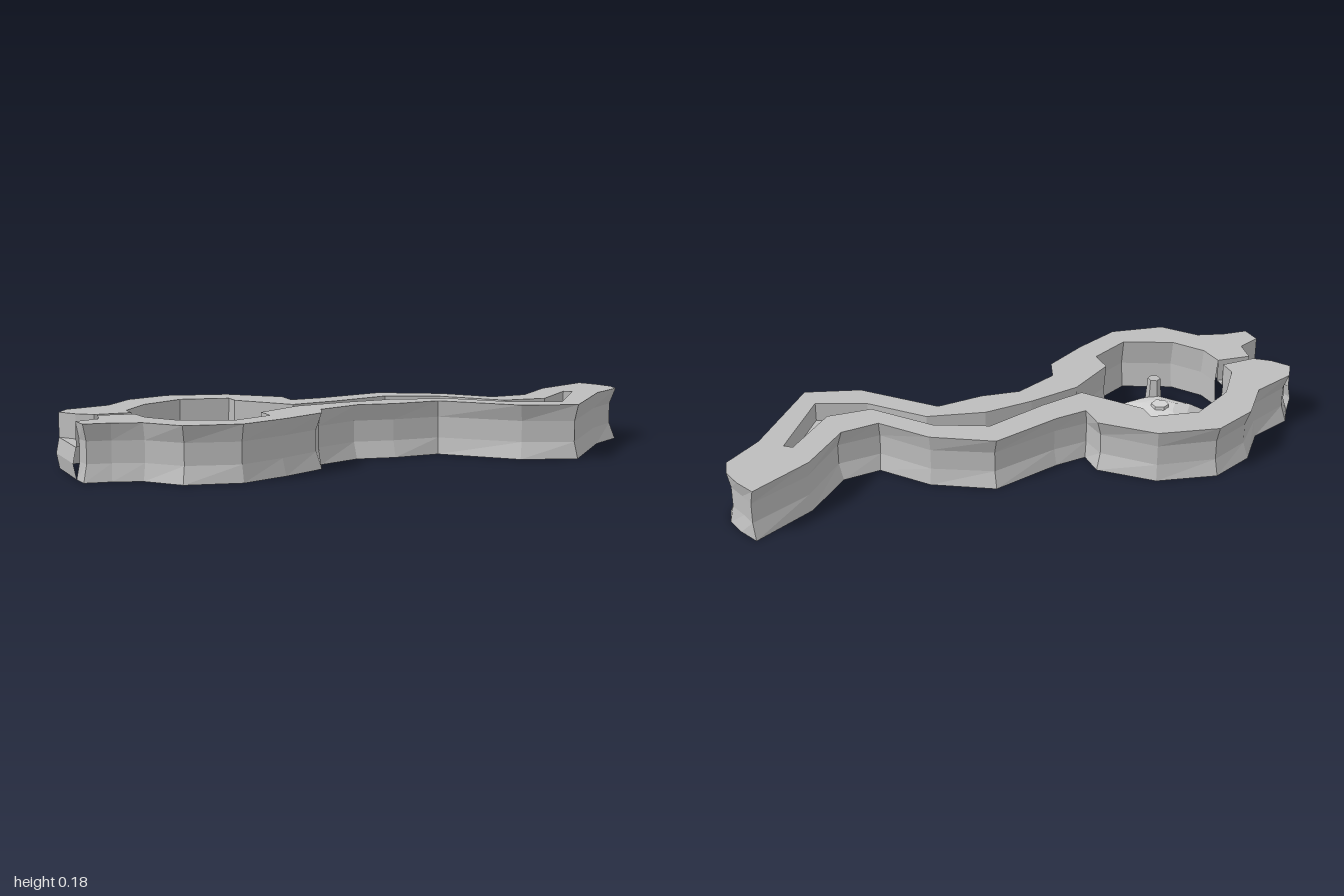
import * as THREE from 'three';

const TOP = 0.18, FLOOR = 0.115;

// Plan outlines as [x, z]
const backEdge = [[-0.99, -0.1], [-0.95, -0.16], [-0.8, -0.21], [-0.7, -0.33], [-0.55, -0.39], [-0.35, -0.34],
  [-0.2, -0.2], [-0.2, -0.11], [-0.09, -0.12], [0.15, -0.18], [0.34, -0.07], [0.46, 0.08], [0.59, 0.07],
  [0.74, -0.07], [0.95, -0.17]];
const frontEdge = [[0.98, -0.1], [0.995, -0.03], [0.98, 0.03], [0.85, 0.12], [0.62, 0.38], [0.44, 0.32], [0.24, 0.11],
  [0.08, 0.12], [-0.05, 0.1], [-0.2, 0.16], [-0.23, 0.24], [-0.38, 0.32], [-0.54, 0.385], [-0.72, 0.35],
  [-0.81, 0.24], [-0.9, 0.21], [-0.985, 0.2], [-0.99, 0.13]];
const outer = [...backEdge, ...frontEdge];
const notchFront = [[-0.99, 0.13], [-0.91, 0.1], [-0.895, 0.02], [-0.78, 0.035]];
const notchBack = [[-0.78, 0], [-0.9, 0], [-0.95, -0.04], [-0.99, -0.1]];
const chamberFront = [[-0.78, 0.035], [-0.77, 0.12], [-0.7, 0.22], [-0.54, 0.295], [-0.4, 0.23], [-0.4, 0.15], [-0.24, 0.05]];
const chamberBack = [[-0.24, 0.01], [-0.38, -0.17], [-0.38, -0.23], [-0.54, -0.265], [-0.69, -0.18], [-0.78, -0.06], [-0.78, 0]];
const slot = [[-0.24, 0.05], [-0.06, 0.02], [0.11, 0.01], [0.3, 0.06], [0.45, 0.22], [0.61, 0.29], [0.785, 0.06],
  [0.76, 0.04], [0.6, 0.19], [0.45, 0.18], [0.3, 0], [0.13, -0.08], [-0.08, -0.02], [-0.24, 0.01]];

// Move a closed outline inward along its corner normals
function inset(points, amount) {
  const n = points.length;
  return points.map(([x, z], i) => {
    const a = points[(i + n - 1) % n], b = points[(i + 1) % n];
    const dx = b[0] - a[0], dz = b[1] - a[1], len = Math.hypot(dx, dz);
    const d = amount * (1 + 0.35 * Math.sin(i * 2.3));
    return [x - dz / len * d, z + dx / len * d];
  });
}

// Wall skinned between plan lines stacked at different heights
function wall(levels) {
  const n = levels[0].points.length, pos = [], index = [];
  for (const { y, points } of levels) for (const [x, z] of points) pos.push(x, y, z);
  for (let r = 0; r < levels.length - 1; r++) {
    for (let i = 0; i < n - 1; i++) {
      const a = r * n + i, c = a + n;
      index.push(a, c, a + 1, a + 1, c, c + 1);
    }
  }
  const g = new THREE.BufferGeometry();
  g.setAttribute('position', new THREE.Float32BufferAttribute(pos, 3));
  g.setIndex(index);
  g.computeVertexNormals();
  return g;
}

// Horizontal plate filling an outline
function plate(points, y) {
  const g = new THREE.ShapeGeometry(new THREE.Shape(points.map(([x, z]) => new THREE.Vector2(x, -z))));
  return g.rotateX(-Math.PI / 2).translate(0, y, 0);
}

export function createModel() {
  const group = new THREE.Group();
  const rock = new THREE.MeshStandardMaterial({ color: 0xbcbcbc, flatShading: true, side: THREE.DoubleSide });
  rock.name = 'grey rock';
  const pale = new THREE.MeshStandardMaterial({ color: 0xd2d2d2, flatShading: true, side: THREE.DoubleSide });
  pale.name = 'pale rock';
  const add = (name, geometry, material = rock) => {
    const mesh = new THREE.Mesh(geometry, material);
    mesh.name = name;
    group.add(mesh);
    return mesh;
  };

  // Flat rim, cut by the entrance notch, round chamber and winding slot
  add('topRim', plate([...outer, ...notchFront.slice(1), ...chamberFront.slice(1), ...slot.slice(1),
    ...chamberBack.slice(1), ...notchBack.slice(1, -1)], TOP));

  // Outer cliff, pinched at mid height
  add('outerCliff', wall([
    { y: 0, points: outer },
    { y: 0.055, points: inset(outer, 0.016) },
    { y: 0.125, points: inset(outer, 0.016) },
    { y: TOP, points: outer },
  ]));

  // Chamber walls, the back one leaning inward at the foot
  add('chamberFrontWall', wall([
    { y: 0, points: chamberFront },
    { y: 0.09, points: chamberFront.map(([x, z]) => [x, z + 0.012]) },
    { y: TOP, points: chamberFront },
  ]));
  add('chamberBackWall', wall([
    { y: 0, points: chamberBack.map(([x, z], i) => [x, z + (i > 1 && i < 5 ? 0.02 : 0)]) },
    { y: 0.09, points: chamberBack.map(([x, z]) => [x, z - 0.005]) },
    { y: TOP, points: chamberBack },
  ]));

  // Winding passage
  add('passageWalls', wall([{ y: FLOOR, points: slot }, { y: TOP, points: slot }]));
  const neck = inset(outer, 0.018);
  add('passageFloor', plate([...neck.slice(7, 24), [-0.2, 0.1], [-0.24, 0.05], [-0.24, 0.01]], FLOOR));

  // Entrance notch with its sill
  for (const [name, line] of [['notchFrontWall', notchFront], ['notchBackWall', notchBack]]) {
    add(name, wall([{ y: 0.1, points: line }, { y: TOP, points: line }]));
  }
  add('notchFloor', plate([...notchFront, ...notchBack], 0.1));
  const sill = [[-0.99, 0.13], [-0.99, 0.02], [-0.99, -0.1]];
  add('entranceSill', wall([
    { y: 0, points: sill },
    { y: 0.05, points: sill.map(([x, z]) => [x - 0.01, z]) },
    { y: 0.1, points: sill },
  ]));

  // Low faceted mound in the chamber
  const foot = [[-0.61, -0.14], [-0.48, -0.14], [-0.39, -0.1], [-0.35, -0.02], [-0.37, 0.09], [-0.43, 0.16], [-0.53, 0.17],
    [-0.61, 0.16], [-0.67, 0.08], [-0.72, 0.02], [-0.65, -0.07], [-0.61, -0.14]];
  const shrink = (s) => foot.map(([x, z]) => [-0.54 + (x + 0.54) * s, 0.005 + (z - 0.005) * s]);
  add('mound', wall([
    { y: 0.005, points: foot },
    { y: 0.04, points: shrink(0.7) },
    { y: 0.06, points: shrink(0.35) },
    { y: 0.066, points: shrink(0) },
  ]), pale);
  add('moundPeg', new THREE.CylinderGeometry(0.03, 0.03, 0.06, 6), pale).position.set(-0.54, 0.045, 0.005);

  // Small post and passage block
  add('moundPost', new THREE.CylinderGeometry(0.022, 0.03, 0.1, 6)).position.set(-0.58, 0.055, 0.13);
  add('passageBlock', new THREE.BoxGeometry(0.03, 0.05, 0.06)).position.set(0.18, FLOOR - 0.01, -0.01);
  add('passagePebble', new THREE.BoxGeometry(0.02, 0.04, 0.02)).position.set(0.222, FLOOR - 0.01, 0.01);

  return group;
}
